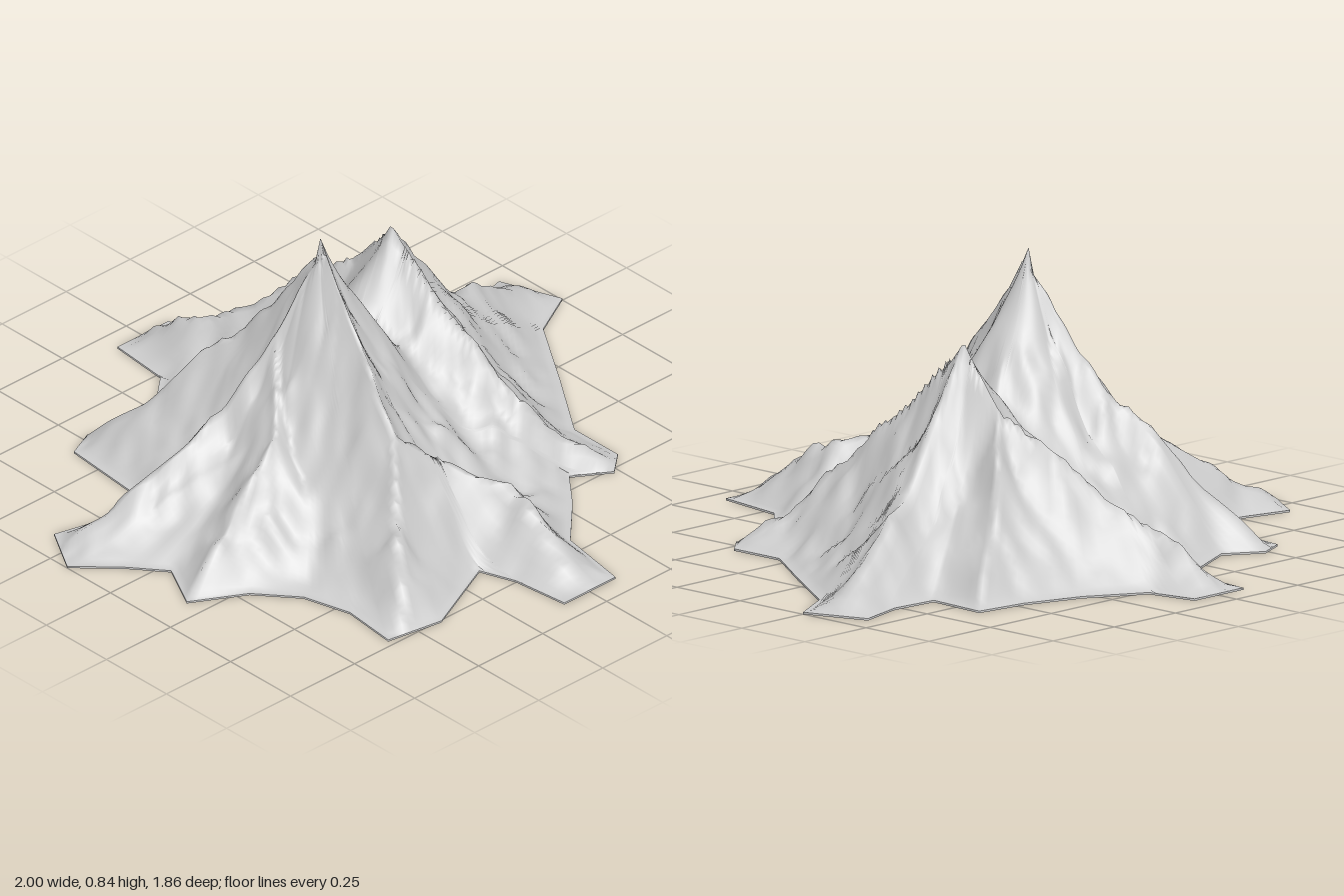
import * as THREE from 'three';

// Foot of the mountain, x and z, clockwise from the back
const foot = [
  [-0.10, -0.93], [0.10, -0.93], [0.13, -0.78], [0.30, -0.68], [0.48, -0.62], [0.64, -0.60],
  [0.63, -0.41], [0.78, -0.40], [0.93, -0.44], [1.00, -0.25], [0.85, -0.17], [0.70, 0.06],
  [0.55, 0.28], [0.55, 0.46], [0.48, 0.52], [0.37, 0.45], [0.28, 0.56], [0.14, 0.70],
  [0.10, 0.93], [-0.10, 0.93], [-0.12, 0.75], [-0.16, 0.64], [-0.42, 0.76], [-0.60, 0.73],
  [-0.58, 0.55], [-0.62, 0.40], [-0.72, 0.28], [-0.88, 0.19], [-0.80, 0.04], [-0.88, -0.06],
  [-1.00, -0.18], [-0.91, -0.33], [-0.75, -0.29], [-0.60, -0.30], [-0.57, -0.61],
  [-0.48, -0.65], [-0.37, -0.58], [-0.20, -0.66], [-0.12, -0.73],
];

// Ridge lines as x, height, z, running down from the two peaks
const tall = [-0.18, 0.84, 0], small = [0.22, 0.65, -0.13];
const shoulder = [-0.27, 0.40, 0.40], saddle = [0.06, 0.36, -0.06], backKnee = [0.23, 0.49, -0.28];
const ridges = [
  [tall, [-0.19, 0.70, 0.09], [-0.21, 0.58, 0.20], shoulder, [-0.40, 0.21, 0.56], [-0.55, 0.02, 0.74]],
  [shoulder, [-0.12, 0.29, 0.46], [0.0, 0.21, 0.60], [0, 0.14, 0.75], [0, 0.02, 0.93]],
  [tall, [-0.23, 0.71, -0.02], [-0.31, 0.55, -0.05], [-0.45, 0.35, -0.11], [-0.60, 0.28, -0.17], [-0.70, 0.20, -0.19], [-0.80, 0.11, -0.21], [-0.95, 0.02, -0.25]],
  [[-0.31, 0.55, -0.05], [-0.45, 0.33, 0.10], [-0.63, 0.20, 0.14], [-0.87, 0.02, 0.18]],
  [tall, [-0.20, 0.67, -0.09], [-0.24, 0.48, -0.24], [-0.37, 0.25, -0.45], [-0.50, 0.02, -0.64]],
  [tall, [-0.10, 0.62, -0.02], [-0.02, 0.46, -0.04], saddle, [0.13, 0.49, -0.10], small],
  [small, [0.24, 0.50, 0.01], [0.28, 0.33, 0.18], [0.31, 0.22, 0.30], [0.39, 0.13, 0.40], [0.51, 0.02, 0.50]],
  [small, [0.35, 0.48, -0.14], [0.50, 0.30, -0.19], [0.61, 0.23, -0.23], [0.72, 0.17, -0.27], [0.85, 0.10, -0.31], [0.97, 0.02, -0.35]],
  [small, backKnee, [0.42, 0.25, -0.45], [0.62, 0.02, -0.58]],
  [backKnee, [0.17, 0.39, -0.44], [0.11, 0.27, -0.52], [0.02, 0.17, -0.71], [0, 0.02, -0.93]],
];

// Distance from a point to a segment, and how far along it lies
function nearest(x, z, ax, az, bx, bz) {
  const dx = bx - ax, dz = bz - az;
  const t = THREE.MathUtils.clamp(((x - ax) * dx + (z - az) * dz) / (dx * dx + dz * dz), 0, 1);
  return { t, d: Math.hypot(x - ax - t * dx, z - az - t * dz) };
}

// Seeded value noise, -1 to 1
function hash(i, j) {
  const s = Math.sin(i * 127.1 + j * 311.7) * 43758.5453;
  return (s - Math.floor(s)) * 2 - 1;
}
function noise(x, z) {
  const i = Math.floor(x), j = Math.floor(z);
  const u = THREE.MathUtils.smoothstep(x - i, 0, 1), v = THREE.MathUtils.smoothstep(z - j, 0, 1);
  const { lerp } = THREE.MathUtils;
  return lerp(lerp(hash(i, j), hash(i + 1, j), u), lerp(hash(i, j + 1), hash(i + 1, j + 1), u), v);
}

const rimHeight = 0.006;

// Height of the rock: hollow flanks falling from each ridge to the foot, roughened
function heightAt(x, z) {
  let edge = Infinity, h = 0;
  foot.forEach(([ax, az], i) => {
    const [bx, bz] = foot[(i + 1) % foot.length];
    edge = Math.min(edge, nearest(x, z, ax, az, bx, bz).d);
  });
  if (edge < 1e-6) return rimHeight;
  for (const line of ridges) {
    for (let i = 0; i + 1 < line.length; i++) {
      const [ax, ay, az] = line[i], [bx, by, bz] = line[i + 1];
      const { t, d } = nearest(x, z, ax, az, bx, bz);
      const crest = ay + (by - ay) * t;
      h = Math.max(h, crest * Math.pow(edge / (edge + d), 1.05 + crest));
    }
  }
  h = Math.max(h, 0.35 * edge);
  const away = Math.min(Math.hypot(x - tall[0], z - tall[2]), Math.hypot(x - small[0], z - small[2]));
  const rough = noise(x * 9, z * 9) * 0.016 + noise(x * 19 + 7, z * 19) * 0.018;
  h += rough * Math.min(1, away * 6) * Math.min(1, edge * 8);
  return rimHeight + Math.min(Math.max(h - rimHeight, 0), edge * 1.5);
}

function surface(points, index, material, name) {
  const geometry = new THREE.BufferGeometry();
  geometry.setAttribute('position', new THREE.Float32BufferAttribute(points, 3));
  geometry.setIndex(index);
  geometry.computeVertexNormals();
  const mesh = new THREE.Mesh(geometry, material);
  mesh.name = name;
  return mesh;
}

export function createModel() {
  const group = new THREE.Group();
  group.name = 'mountain';
  const rock = new THREE.MeshStandardMaterial({ color: 0xcccccc });
  rock.name = 'pale grey rock';

  // Foot outline cut into short steps
  const rim = [];
  foot.forEach(([ax, az], i) => {
    const [bx, bz] = foot[(i + 1) % foot.length];
    const steps = Math.ceil(Math.hypot(bx - ax, bz - az) / 0.03);
    for (let k = 0; k < steps; k++) rim.push([ax + (bx - ax) * k / steps, az + (bz - az) * k / steps]);
  });
  const n = rim.length, rings = 48;

  // Slopes: rings spreading from the tall peak to the foot
  const points = [...tall], index = [];
  for (let r = 1; r <= rings; r++) {
    for (const [rx, rz] of rim) {
      const x = tall[0] + (rx - tall[0]) * r / rings, z = tall[2] + (rz - tall[2]) * r / rings;
      points.push(x, heightAt(x, z), z);
    }
  }
  for (let k = 0; k < n; k++) {
    const m = (k + 1) % n;
    index.push(0, 1 + m, 1 + k);
    for (let r = 0; r < rings - 1; r++) {
      const a = 1 + r * n + k, b = 1 + r * n + m;
      index.push(a, b, a + n, b, b + n, a + n);
    }
  }
  group.add(surface(points, index, rock, 'slopes'));

  // Thin rim and flat underside
  const edgePoints = [], edgeIndex = [], basePoints = [tall[0], 0, tall[2]], baseIndex = [];
  rim.forEach(([x, z], k) => {
    const m = (k + 1) % n;
    edgePoints.push(x, rimHeight, z, x, 0, z);
    edgeIndex.push(2 * k, 2 * m, 2 * k + 1, 2 * m, 2 * m + 1, 2 * k + 1);
    basePoints.push(x, 0, z);
    baseIndex.push(0, 1 + k, 1 + m);
  });
  group.add(surface(edgePoints, edgeIndex, rock, 'rim'));
  group.add(surface(basePoints, baseIndex, rock, 'underside'));
  return group;
}
